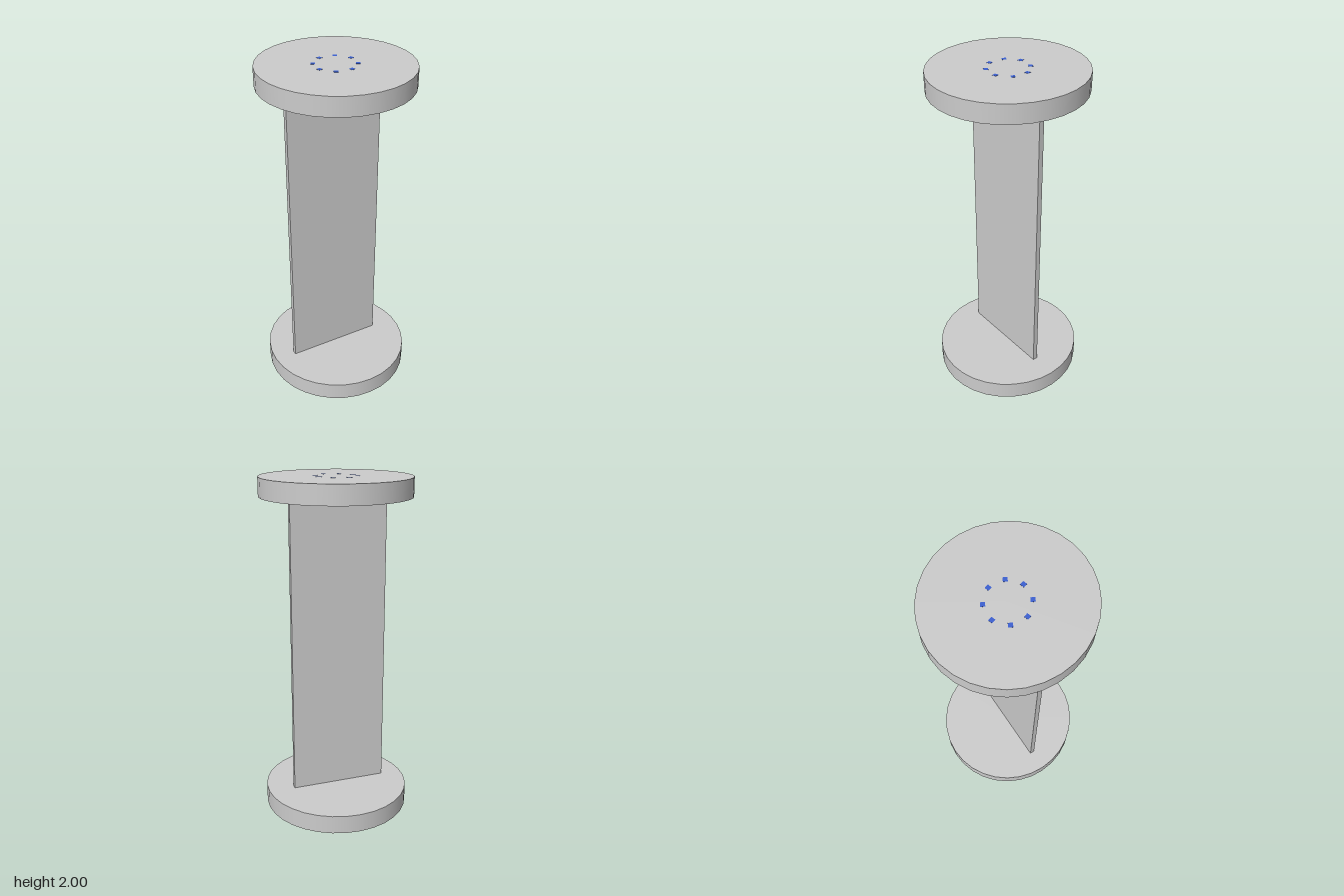
import * as THREE from 'three';

export function createModel() {
  const model = new THREE.Group();
  model.name = 'spool';
  const grey = new THREE.MeshStandardMaterial({ color: 0xcccccc });
  const blue = new THREE.MeshStandardMaterial({ color: 0x3a5fd0 });

  const add = (name, geometry, material, x, y, z, parent = model) => {
    const mesh = new THREE.Mesh(geometry, material);
    mesh.name = name;
    mesh.position.set(x, y, z);
    parent.add(mesh);
    return mesh;
  };

  // Slightly oval end discs
  const thickness = 0.11;
  const disc = new THREE.CylinderGeometry(1, 1, thickness, 32);
  disc.scale(0.434, 1, 0.443);
  add('bottomDisc', disc, grey, 0, thickness / 2, 0);
  add('topDisc', disc, grey, 0, 1.999 - thickness / 2, 0);

  // Upright flat plate between the discs, a little off centre
  add('plate', new THREE.BoxGeometry(0.58, 1.78, 0.03), grey, -0.015, 1, 0);

  // Ring of eight small square markers set into the top disc
  const ring = new THREE.Group();
  ring.name = 'markerRing';
  model.add(ring);
  const marker = new THREE.BoxGeometry(0.024, 0.02, 0.024);
  for (let i = 0; i < 8; i++) {
    const a = THREE.MathUtils.degToRad(17.5 + i * 45);
    const mesh = add('marker', marker, blue, 0.119 * Math.cos(a) - 0.001, 1.99, -0.119 * Math.sin(a) - 0.002, ring);
    mesh.rotation.y = a;
  }
  return model;
}
